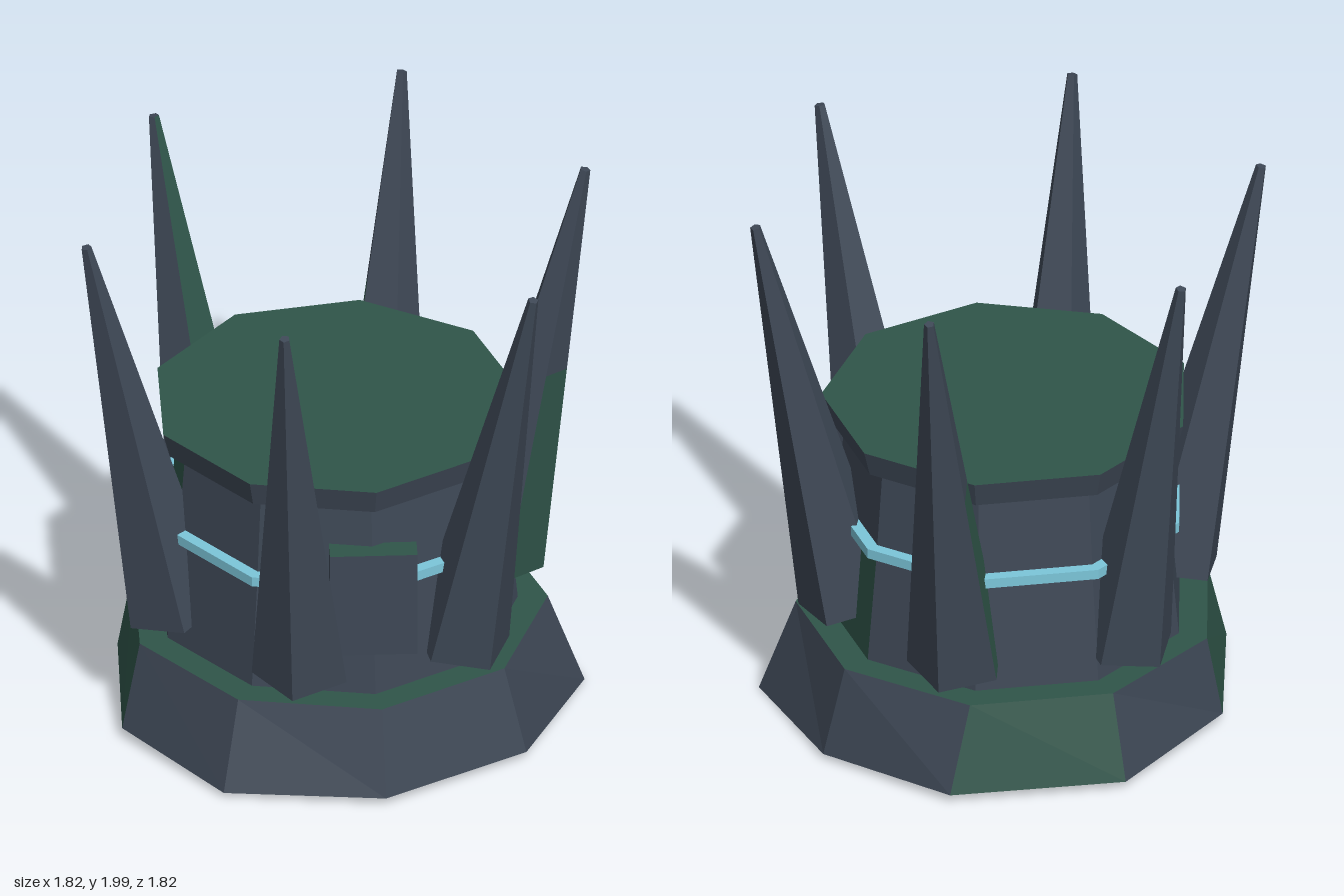
import * as THREE from 'three';

const slate = new THREE.MeshStandardMaterial({ color: 0x3e4856 });
slate.name = 'slate stone';
const moss = new THREE.MeshStandardMaterial({ color: 0x2f5549 });
moss.name = 'moss green';
const glow = new THREE.MeshStandardMaterial({ color: 0x7cc6da });
glow.name = 'pale blue glow';

const SIDES = 9;

// Level ring of points around the y axis, starting at +x and turning towards +z
function ring(radius, y) {
  return Array.from({ length: SIDES }, (_, i) => {
    const a = (i / SIDES) * Math.PI * 2;
    return new THREE.Vector3(Math.cos(a) * radius, y, Math.sin(a) * radius);
  });
}

// Flat-faced skin over stacked rings with end caps.
// isSecond(level, side) picks the second material; the top cap has side -1.
function loft(name, rings, materials, isSecond = () => false) {
  const buckets = [[], []];
  const n = rings[0].length;
  const tri = (bucket, ...pts) => pts.forEach((p) => bucket.push(p.x, p.y, p.z));
  for (let l = 0; l < rings.length - 1; l++) {
    for (let i = 0; i < n; i++) {
      const j = (i + 1) % n;
      const b = buckets[isSecond(l, i) ? 1 : 0];
      tri(b, rings[l][i], rings[l + 1][i], rings[l + 1][j]);
      tri(b, rings[l][i], rings[l + 1][j], rings[l][j]);
    }
  }
  const bottom = rings[0], top = rings[rings.length - 1];
  const topBucket = buckets[isSecond(rings.length - 1, -1) ? 1 : 0];
  for (let i = 1; i < n - 1; i++) {
    tri(topBucket, top[0], top[i + 1], top[i]);
    tri(buckets[0], bottom[0], bottom[i], bottom[i + 1]);
  }
  const geometry = new THREE.BufferGeometry();
  geometry.setAttribute('position', new THREE.Float32BufferAttribute(buckets.flat(), 3));
  geometry.computeVertexNormals();
  const first = buckets[0].length / 3;
  geometry.addGroup(0, first, 0);
  if (buckets[1].length) geometry.addGroup(first, buckets[1].length / 3, 1);
  const mesh = new THREE.Mesh(geometry, materials);
  mesh.name = name;
  return mesh;
}

// Five-sided spike leaning outwards; angles in degrees
function spike({ angle, twist, foot = 0.6, tip = 0.93, moss: patches = [] }) {
  const a = THREE.MathUtils.degToRad(angle);
  const out = new THREE.Vector3(Math.cos(a), 0, Math.sin(a));
  const side = new THREE.Vector3(-Math.sin(a), 0, Math.cos(a));
  const start = out.clone().multiplyScalar(foot).setY(0.44);
  const end = out.clone().multiplyScalar(tip - 0.015).setY(1.99);
  const lean = Math.atan2(tip - foot, 1.55);
  const tilted = out.clone().multiplyScalar(Math.cos(lean)).setY(-Math.sin(lean));
  const rings = [0, 0.5, 1].map((t) => {
    const centre = start.clone().lerp(end, t);
    const radius = THREE.MathUtils.lerp(0.18, 0.019, t);
    return Array.from({ length: 5 }, (_, i) => {
      const b = THREE.MathUtils.degToRad(twist + i * 72);
      return centre.clone()
        .addScaledVector(tilted, Math.cos(b) * radius)
        .addScaledVector(side, Math.sin(b) * radius);
    });
  });
  return loft('spike', rings, [slate, moss],
    (level, face) => patches.some(([l, f]) => l === level && f === face));
}

export function createModel() {
  const model = new THREE.Group();
  model.name = 'spikedTower';
  const stone = [slate, moss];

  // Uneven foot of the base
  const footprint = [
    [0.88, 0, 0], [0.65, 0.03, 0.53], [0.14, 0.03, 0.82], [-0.43, 0.02, 0.74],
    [-0.77, 0.04, 0.32], [-0.76, 0.04, -0.25], [-0.42, 0.03, -0.72],
    [0.2, 0.03, -0.82], [0.65, 0.02, -0.51],
  ].map((p) => new THREE.Vector3(...p));
  model.add(loft('base', [footprint, ring(0.75, 0.35)], stone,
    (level, i) => i === -1 || i === 4 || i === 6));

  // Tapered drum and its overhanging lip
  model.add(loft('drum', [ring(0.645, 0.34), ring(0.605, 0.74), ring(0.575, 1.11)], stone,
    (level, i) => (level === 0 && i === 8) || (level === 1 && i === 4)));
  model.add(loft('lip', [ring(0.635, 1.1), ring(0.66, 1.195)], stone, (level, i) => i === -1));

  // Glowing band around the drum
  model.add(loft('glowBand', [ring(0.645, 0.763), ring(0.645, 0.8)], [glow]));

  // Front panel with a mossy top edge
  const panel = new THREE.Mesh(new THREE.BoxGeometry(0.31, 0.41, 0.09),
    [slate, slate, moss, slate, slate, slate]);
  panel.name = 'frontPanel';
  panel.position.set(0.105, 0.725, 0.6);
  model.add(panel);

  // Six leaning spikes
  const spikes = new THREE.Group();
  spikes.name = 'spikes';
  [
    { angle: 104, twist: 0 },
    { angle: 45, twist: 12, tip: 0.96 },
    { angle: -13, twist: 20, foot: 0.58, moss: [[0, 0]] },
    { angle: -73, twist: 5, tip: 0.95, moss: [[0, 3]] },
    { angle: -134, twist: 0, tip: 0.9, moss: [[0, 2], [1, 2]] },
    { angle: 165, twist: -12, tip: 0.94 },
  ].forEach((s) => spikes.add(spike(s)));
  model.add(spikes);

  return model;
}
